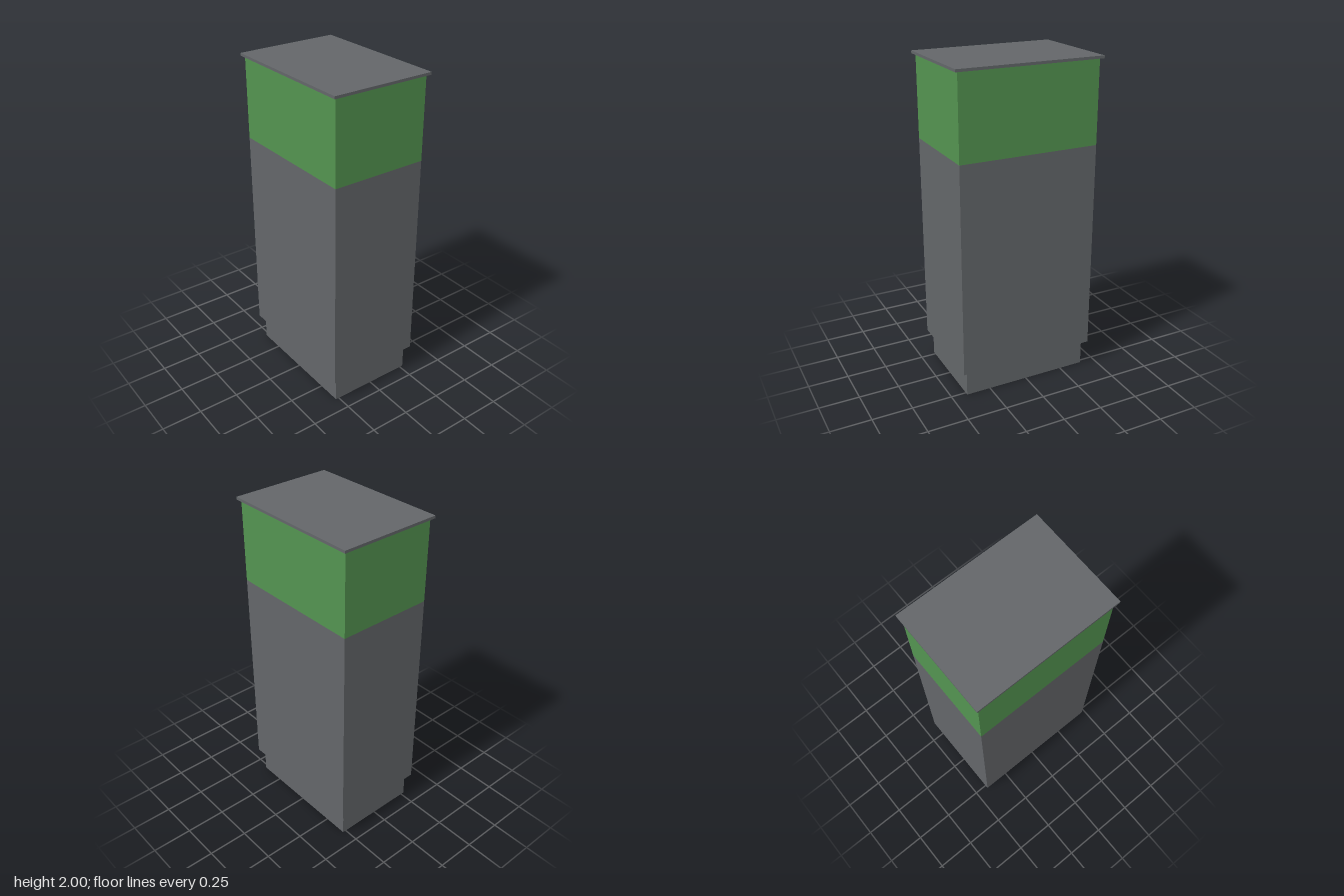
import * as THREE from 'three';

export function createModel() {
  const group = new THREE.Group();
  const grey = new THREE.MeshStandardMaterial({ color: 0x636669 });
  grey.name = 'grey';
  const green = new THREE.MeshStandardMaterial({ color: 0x539350 });
  green.name = 'green';

  // Box centred on the vertical axis, spanning y0 to y1
  function slab(name, width, depth, y0, y1, material) {
    const mesh = new THREE.Mesh(new THREE.BoxGeometry(width, y1 - y0, depth), material);
    mesh.name = name;
    mesh.position.y = (y0 + y1) / 2;
    group.add(mesh);
  }

  slab('plinth', 0.808, 0.544, 0, 0.164, grey); // recessed foot
  slab('body', 0.868, 0.604, 0.164, 1.48, grey); // main cabinet
  slab('upperBand', 0.868, 0.604, 1.48, 1.984, green); // coloured top section
  slab('lid', 0.904, 0.642, 1.984, 2, grey); // thin overhanging cover

  return group;
}
